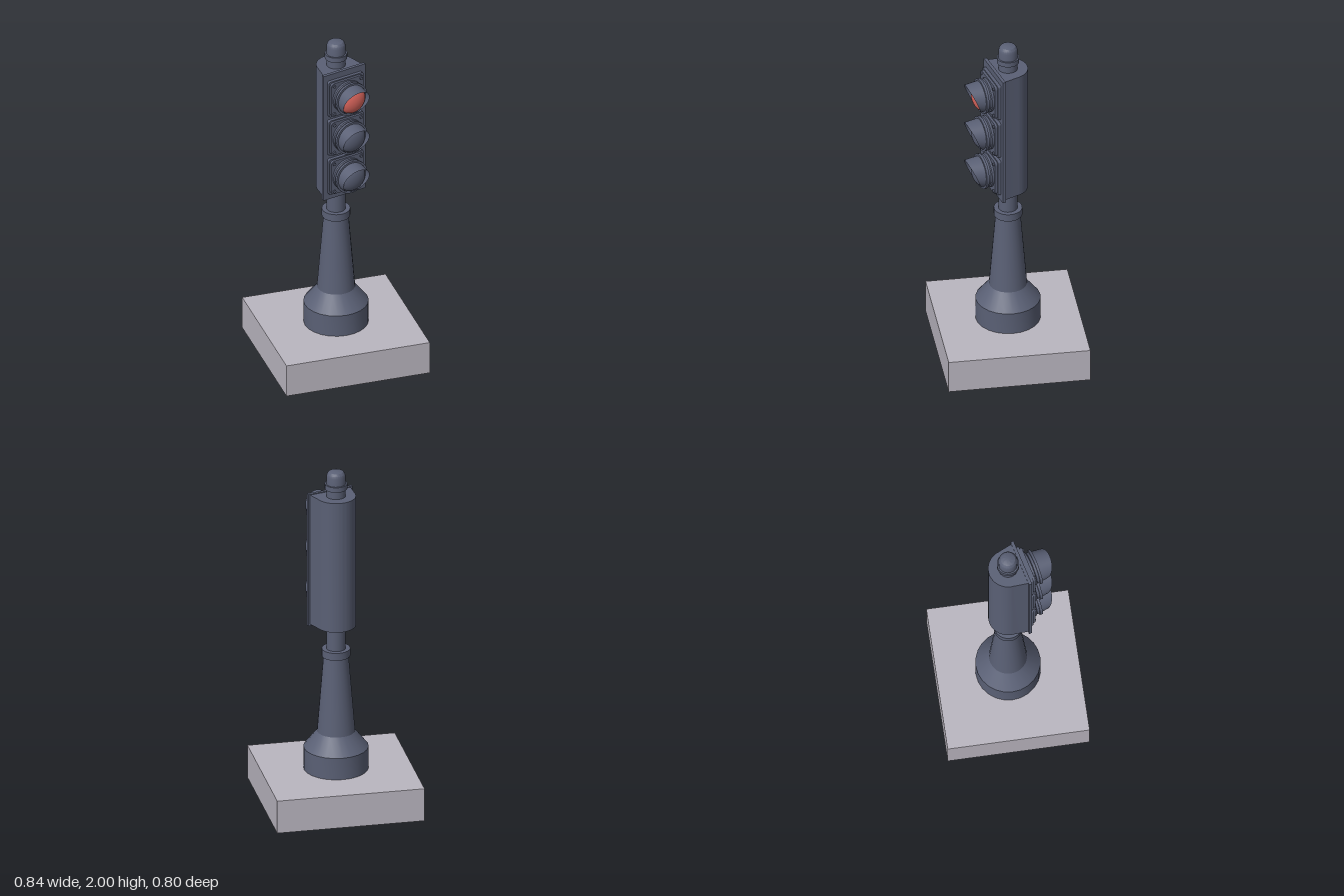
import * as THREE from 'three';
import { toCreasedNormals } from 'three/addons/utils/BufferGeometryUtils.js';

const paint = new THREE.MeshStandardMaterial({ color: 0x5a6075 });
const shell = new THREE.MeshStandardMaterial({ color: 0x5a6075, side: THREE.DoubleSide });
const red = new THREE.MeshStandardMaterial({ color: 0xe0685f });
const concrete = new THREE.MeshStandardMaterial({ color: 0xbab6c0 });

function add(parent, name, geometry, material = paint) {
  const mesh = new THREE.Mesh(geometry, material);
  mesh.name = name;
  parent.add(mesh);
  return mesh;
}

// Turned part around the y axis, with sharp edges kept
function turned(points, segments = 24) {
  const profile = points.map(([r, y]) => new THREE.Vector2(r, y));
  return toCreasedNormals(new THREE.LatheGeometry(profile, segments), 0.45);
}

// Turned part whose axis points to +z
const turnedForward = (points, segments = 32) => turned(points, segments).rotateX(Math.PI / 2);

function box(w, h, d, x, y, z) {
  return new THREE.BoxGeometry(w, h, d).translate(x, y, z);
}

// Square plate with rounded corners, from z0 to z1
function roundedPlate(half, r, z0, z1) {
  const s = new THREE.Shape();
  const c = half - r;
  s.absarc(c, c, r, 0, Math.PI / 2);
  s.absarc(-c, c, r, Math.PI / 2, Math.PI);
  s.absarc(-c, -c, r, Math.PI, Math.PI * 1.5);
  s.absarc(c, -c, r, Math.PI * 1.5, Math.PI * 2);
  return new THREE.ExtrudeGeometry(s, { depth: z1 - z0, bevelEnabled: false, curveSegments: 4 }).translate(0, 0, z0);
}

// Hood: open tube whose front rim is cut on a slant, longest at the top
function visorGeometry() {
  const g = new THREE.CylinderGeometry(0.083, 0.09, 1, 32, 1, true).rotateX(Math.PI / 2);
  const p = g.attributes.position;
  for (let i = 0; i < p.count; i++) {
    p.setZ(i, p.getZ(i) > 0 ? 0.217 + 0.42 * p.getY(i) : 0.165);
  }
  g.computeVertexNormals();
  return g;
}

// One lamp unit: panel, screws, barrel with flange, lens and hood
function createLamp(lensMaterial) {
  const lamp = new THREE.Group();
  add(lamp, 'lampPanel', roundedPlate(0.113, 0.012, 0.085, 0.108));
  add(lamp, 'lampPanelFace', roundedPlate(0.106, 0.02, 0.105, 0.122));
  for (const sx of [-1, 1]) {
    for (const sy of [-1, 1]) {
      const screw = add(lamp, 'screw', new THREE.CylinderGeometry(0.009, 0.009, 0.012, 10).rotateX(Math.PI / 2));
      screw.position.set(sx * 0.088, sy * 0.088, 0.124);
    }
  }
  add(lamp, 'barrel', turnedForward([
    [0, 0.11], [0.097, 0.11], [0.097, 0.135], [0.091, 0.14], [0.091, 0.154],
    [0.101, 0.154], [0.101, 0.169], [0.086, 0.169], [0, 0.169],
  ]));
  const lens = add(lamp, 'lens',
    new THREE.SphereGeometry(0.082, 32, 10, 0, Math.PI * 2, 0, Math.PI / 2).rotateX(Math.PI / 2), lensMaterial);
  lens.scale.z = 0.55;
  lens.position.z = 0.168;
  add(lamp, 'visor', visorGeometry(), shell);
  return lamp;
}

// Housing: rounded back, sides flaring to the front plate
function housingGeometry() {
  const s = new THREE.Shape();
  s.moveTo(0.126, -0.072);
  s.lineTo(0.111, 0.01);
  s.absarc(0, 0, 0.111, 0.09, Math.PI - 0.09);
  s.lineTo(-0.126, -0.072);
  s.closePath();
  const g = new THREE.ExtrudeGeometry(s, { depth: 0.785, bevelEnabled: false, curveSegments: 24 });
  return toCreasedNormals(g.rotateX(-Math.PI / 2).translate(0, 1.06, 0), 0.5);
}

export function createModel() {
  const model = new THREE.Group();
  model.name = 'trafficLight';

  add(model, 'foundation', box(0.84, 0.195, 0.8, 0, 0.0975, 0), concrete);

  // Flared pedestal and collar
  add(model, 'pedestal', turned([
    [0, 0.195], [0.182, 0.195], [0.182, 0.325], [0.107, 0.42], [0.07, 0.88], [0, 0.88],
  ]));
  add(model, 'poleCollar', turned([
    [0, 0.875], [0.08, 0.875], [0.08, 0.92], [0, 0.92],
  ]));

  // Pole, upper ring and domed cap
  add(model, 'pole', new THREE.CylinderGeometry(0.054, 0.054, 1.02, 24).translate(0, 1.4, 0));
  add(model, 'capRing', turned([
    [0, 1.89], [0.063, 1.89], [0.063, 1.92], [0, 1.92],
  ]));
  add(model, 'cap', turned([
    [0, 1.91], [0.054, 1.91], [0.054, 1.965], [0.05, 1.98], [0.04, 1.992], [0.023, 1.998], [0, 2],
  ]));

  // Signal head, turned slightly to its left
  const head = new THREE.Group();
  head.name = 'signalHead';
  head.rotation.y = 0.244;
  model.add(head);
  add(head, 'housing', housingGeometry());
  add(head, 'frontPlate', box(0.275, 0.8, 0.018, 0, 1.45, 0.08));
  [['topLamp', 1.7, red], ['middleLamp', 1.45, paint], ['bottomLamp', 1.2, paint]].forEach(([name, y, material]) => {
    const lamp = createLamp(material);
    lamp.name = name;
    lamp.position.y = y;
    head.add(lamp);
  });

  return model;
}
